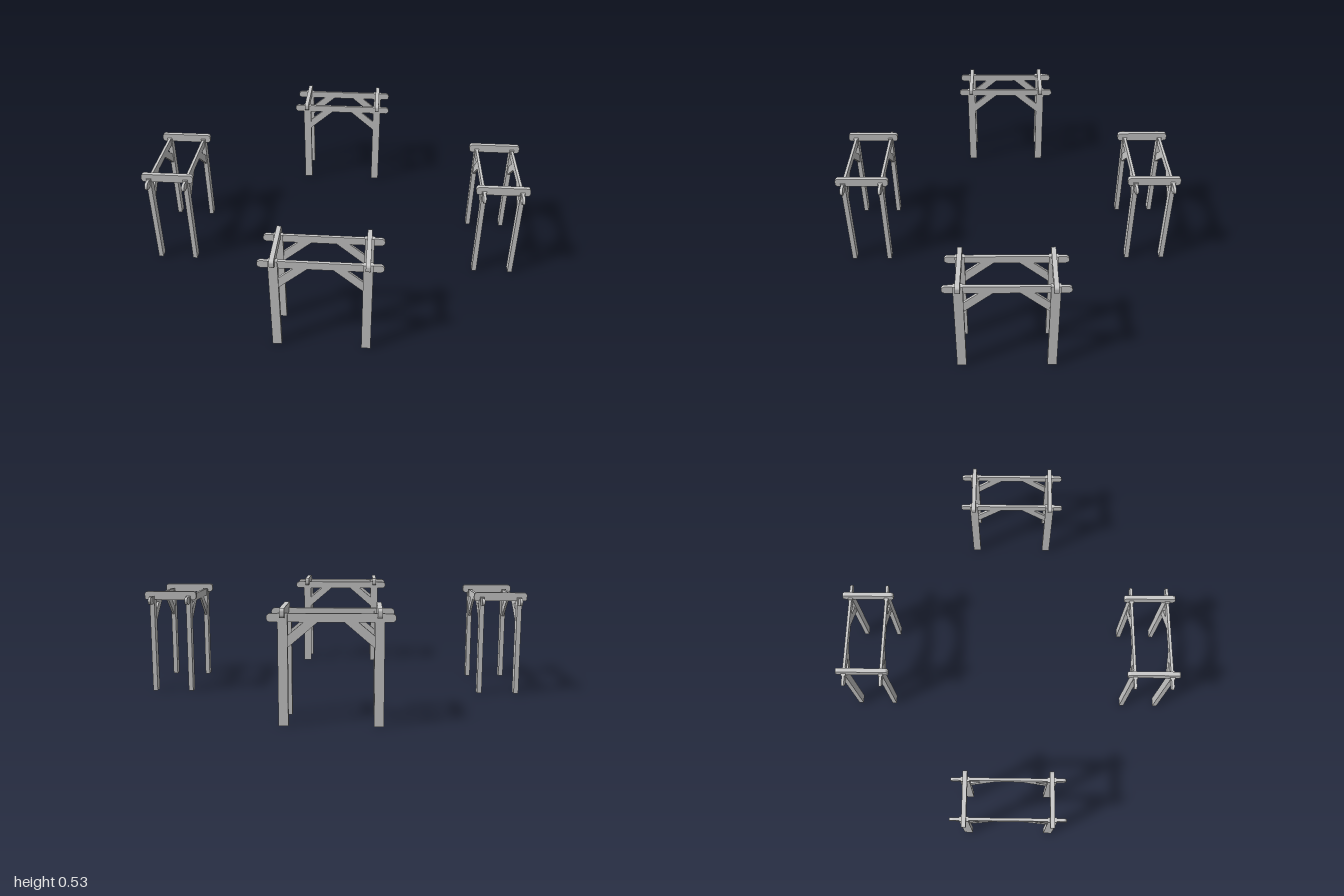
import * as THREE from 'three';

const material = new THREE.MeshStandardMaterial({ color: 0xcccccc, flatShading: true });

// Extrude a side profile (x, y) symmetrically about z = 0
function slab(shape, depth) {
  const geo = new THREE.ExtrudeGeometry(shape, { depth, bevelEnabled: false, curveSegments: 4 });
  return geo.translate(0, 0, -depth / 2);
}

// Beam along x with rounded ends, centred on the origin
function beamGeometry(length, height, depth, r) {
  const a = length / 2, b = height / 2;
  const s = new THREE.Shape();
  s.moveTo(-a + r, -b);
  s.lineTo(a - r, -b);
  s.absarc(a - r, -b + r, r, -Math.PI / 2, 0);
  s.absarc(a - r, b - r, r, 0, Math.PI / 2);
  s.absarc(-a + r, b - r, r, Math.PI / 2, Math.PI);
  s.absarc(-a + r, -b + r, r, Math.PI, Math.PI * 1.5);
  return slab(s, depth);
}

// Diagonal brace from a post (at x = -side * POST_X) up to the long beam
function braceGeometry(side) {
  const pts = [[-0.205, 0.34], [-0.192, 0.354], [-0.045, 0.48], [-0.107, 0.48], [-0.205, 0.398]];
  pts[0] = [-0.205, 0.345];
  const placed = pts.map(([x, y]) => new THREE.Vector2(-side * x, y));
  return slab(new THREE.Shape(placed), 0.012);
}

const POST_X = 0.213;
const POST_Z = 0.096;

function createFrame() {
  const frame = new THREE.Group();
  const add = (name, geo, x, y, z) => {
    const mesh = new THREE.Mesh(geo, material);
    mesh.name = name;
    mesh.position.set(x, y, z);
    frame.add(mesh);
    return mesh;
  };

  const post = new THREE.BoxGeometry(0.044, 0.509, 0.024);
  const longBeam = beamGeometry(0.57, 0.039, 0.014, 0.0194);
  const crossBeam = beamGeometry(0.272, 0.044, 0.022, 0.015);

  for (const z of [-POST_Z, POST_Z]) {
    add('longBeam', longBeam, 0, 0.488, z);
    for (const side of [-1, 1]) {
      add('post', post, side * POST_X, 0.2545, z);
      add('brace', braceGeometry(side), 0, 0, z);
    }
  }
  // Cross beams rest over the post tops
  for (const side of [-1, 1]) {
    add('crossBeam', crossBeam, side * POST_X, 0.511, 0).rotation.y = Math.PI / 2;
  }
  return frame;
}

export function createModel() {
  const model = new THREE.Group();
  model.name = 'timberFrames';

  // Four frames around the centre, the side ones turned a quarter
  const places = [
    ['frontFrame', -0.01, 0.753, 0],
    ['backFrame', -0.01, -0.753, 0],
    ['leftFrame', 0.864, 0.01, Math.PI / 2],
    ['rightFrame', -0.864, 0.01, Math.PI / 2],
  ];
  for (const [name, x, z, turn] of places) {
    const frame = createFrame();
    frame.name = name;
    frame.position.set(x, 0, z);
    frame.rotation.y = turn;
    model.add(frame);
  }
  return model;
}
